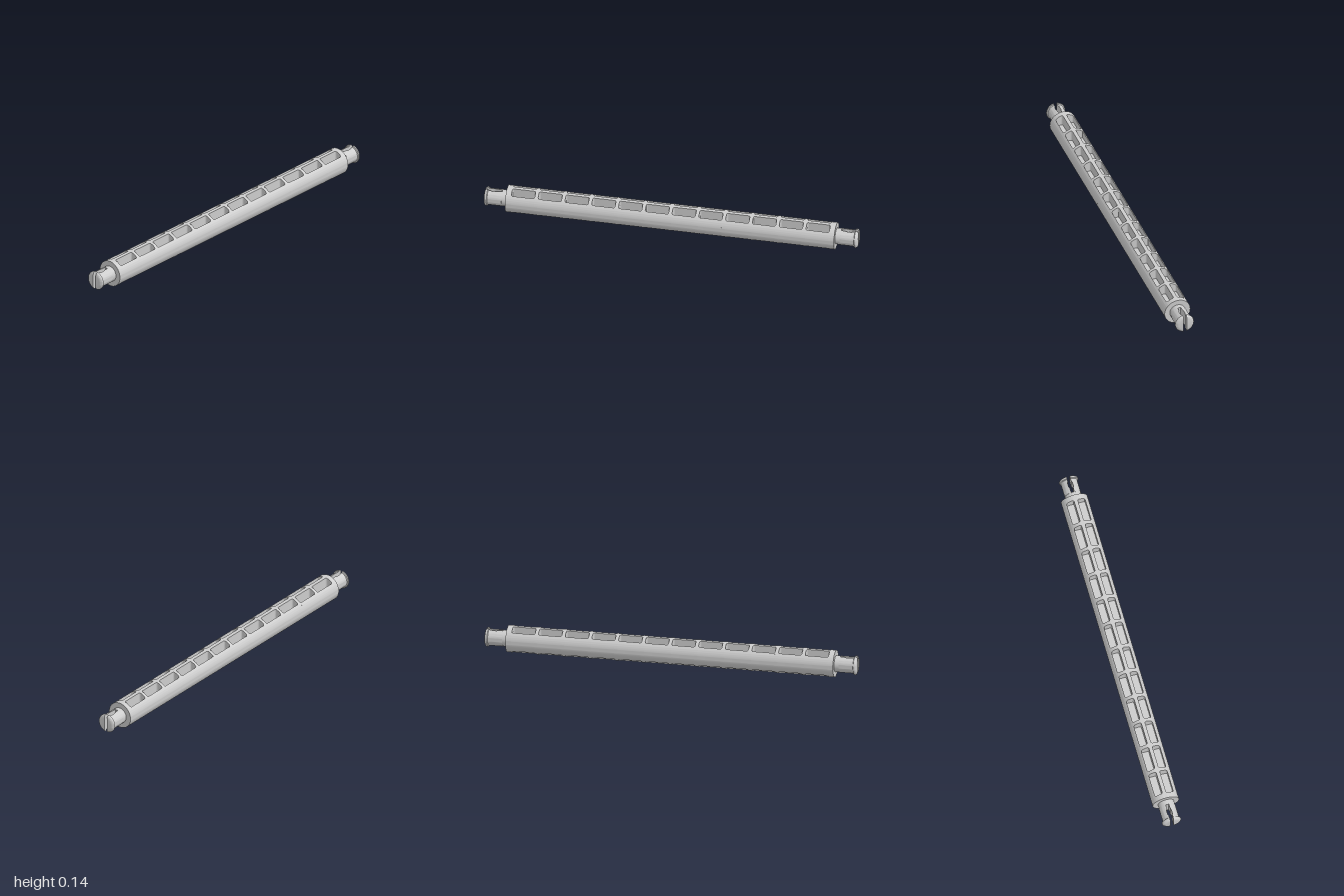
import * as THREE from 'three';
import { mergeGeometries, toCreasedNormals } from 'three/addons/utils/BufferGeometryUtils.js';

const R = 0.0715;            // barrel radius
const HALF = 0.88;           // half length of the barrel
const WEB = 0.01;            // half thickness of the inner webs
const RAIL = 0.05;           // x where the solid side rails begin
const COUNT = 12, PITCH = 0.1433, POCKET = 0.125;
const FILLET = 0.008;

const material = new THREE.MeshStandardMaterial({ color: 0xcccccc });

function add(parent, name, geometry) {
  const mesh = new THREE.Mesh(geometry, material);
  mesh.name = name;
  parent.add(mesh);
  return mesh;
}

// Extrude a cross-section along z, centred on z = 0
function slice(shape, length, curveSegments) {
  const g = new THREE.ExtrudeGeometry(shape, { depth: length, bevelEnabled: false, curveSegments });
  g.translate(0, 0, -length / 2);
  return toCreasedNormals(g, 0.5);
}

function discShape() {
  return new THREE.Shape().absarc(0, 0, R, 0, Math.PI * 2, false);
}

// Side rails joined by a horizontal web, with a vertical web in the middle
function pocketShape() {
  const a = Math.acos(RAIL / R), b = Math.acos(WEB / R), s = new THREE.Shape();
  for (const k of [1, -1]) {
    const turn = k === 1 ? 0 : Math.PI;
    s.absarc(0, 0, R, turn - a, turn + a, false);
    s.lineTo(k * RAIL, k * WEB);
    s.lineTo(k * WEB, k * WEB);
    s.absarc(0, 0, R, turn + b, turn + Math.PI - b, false);
    s.lineTo(-k * WEB, k * WEB);
    s.lineTo(-k * RAIL, k * WEB);
  }
  return s;
}

// Rounded upright corners of one pocket, trimmed to the barrel's curve
function pocketCorners() {
  const parts = [];
  for (const [x, sx] of [[WEB, 1], [RAIL, -1]]) {
    for (const sz of [1, -1]) {
      const z = -sz * POCKET / 2;
      const points = [new THREE.Vector2(x, z)];
      for (let i = 0; i <= 5; i++) {
        const t = (i / 5) * Math.PI / 2;
        points.push(new THREE.Vector2(
          x + sx * FILLET * (1 - Math.sin(t)), z + sz * FILLET * (1 - Math.cos(t))));
      }
      const g = new THREE.ExtrudeGeometry(new THREE.Shape(points), { depth: 0.05, bevelEnabled: false });
      g.rotateX(-Math.PI / 2);
      const p = g.attributes.position;
      for (let i = 0; i < p.count; i++) {
        p.setY(i, p.getY(i) > 0.02 ? Math.sqrt(R * R - p.getX(i) ** 2) : WEB);
      }
      parts.push(toCreasedNormals(g, 0.5));
    }
  }
  return mergeGeometries(parts);
}

// One prong of the split pin: D-shaped sections [z, radius, flat x]
function prongGeometry() {
  const stations = [
    [0.905, 0.044, 0.008], [0.93, 0.044, 0.009], [0.94, 0.044, 0.013], [0.962, 0.044, 0.013],
    [0.97, 0.044, 0.009], [0.981, 0.045, 0.009], [0.984, 0.051, 0.009], [0.989, 0.0515, 0.009],
    [0.994, 0.049, 0.009], [0.998, 0.043, 0.009], [1.0, 0.034, 0.009],
  ];
  const n = 29, pos = [], index = [];
  for (const [z, r, flat] of stations) {
    const a = Math.acos(flat / r);
    for (let i = 0; i < n; i++) {
      const t = -a + (2 * a * i) / (n - 1);
      pos.push(r * Math.cos(t), r * Math.sin(t), z);
    }
  }
  for (let j = 0; j < stations.length - 1; j++) {
    for (let i = 0; i < n; i++) {
      const k = (i + 1) % n, a = j * n, b = a + n;
      index.push(a + i, a + k, b + k, a + i, b + k, b + i);
    }
  }
  const last = (stations.length - 1) * n;
  for (let i = 1; i < n - 1; i++) {
    index.push(last, last + i, last + i + 1, 0, i + 1, i);
  }
  const g = new THREE.BufferGeometry();
  g.setAttribute('position', new THREE.Float32BufferAttribute(pos, 3));
  g.setIndex(index);
  return toCreasedNormals(g, 0.7);
}

export function createModel() {
  const model = new THREE.Group();
  model.name = 'slottedRod';
  model.position.y = R;

  // Barrel: pocketed slices separated by solid ribs
  const barrel = new THREE.Group();
  barrel.name = 'barrel';
  model.add(barrel);
  const pocketGeo = slice(pocketShape(), POCKET, 20);
  const ribGeo = slice(discShape(), PITCH - POCKET, 72);
  const cornerGeo = pocketCorners();
  for (let i = 0; i < COUNT; i++) {
    const z = (i - (COUNT - 1) / 2) * PITCH;
    add(barrel, 'pocketSection', pocketGeo).position.z = z;
    if (i < COUNT - 1) add(barrel, 'rib', ribGeo).position.z = z + PITCH / 2;
    for (const ry of [0, Math.PI]) {
      for (const rx of [0, Math.PI]) {
        const corners = add(barrel, 'pocketCorners', cornerGeo);
        corners.rotation.set(rx, ry, 0);
        corners.position.z = z;
      }
    }
  }

  // Solid barrel ends
  const inner = ((COUNT - 1) * PITCH + POCKET) / 2;
  const endGeo = slice(discShape(), HALF - inner, 72);
  for (const k of [1, -1]) add(barrel, 'barrelEnd', endGeo).position.z = k * (HALF + inner) / 2;

  // Split snap pins at both ends
  const prongGeo = prongGeometry();
  const neckGeo = new THREE.CylinderGeometry(0.043, 0.043, 0.03, 48).rotateX(Math.PI / 2);
  for (const [name, turn] of [['frontPin', 0], ['backPin', Math.PI]]) {
    const pin = new THREE.Group();
    pin.name = name;
    pin.rotation.y = turn;
    add(pin, 'pinNeck', neckGeo).position.z = 0.892;
    add(pin, 'leftProng', prongGeo);
    add(pin, 'rightProng', prongGeo).rotation.z = Math.PI;
    model.add(pin);
  }
  return model;
}
